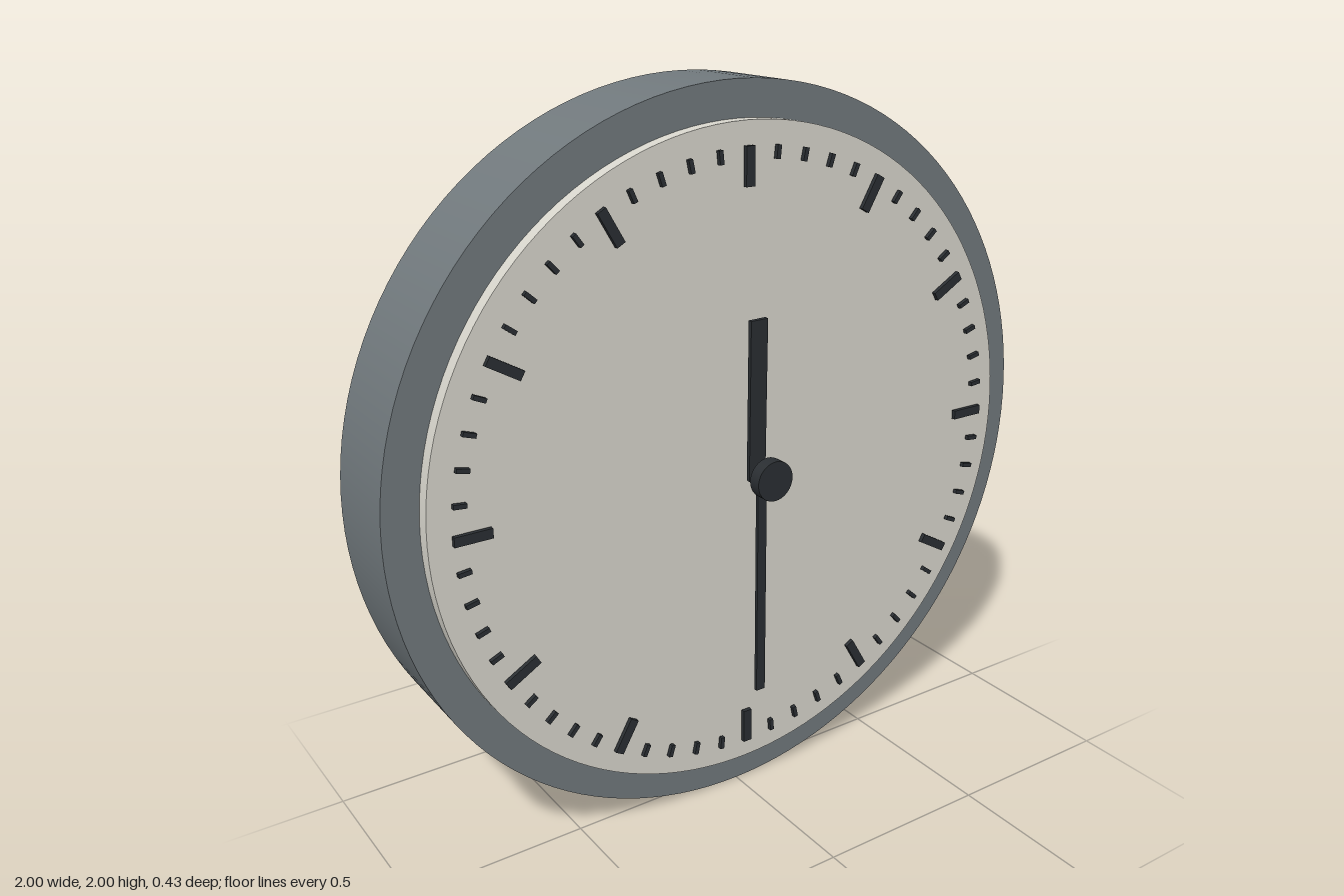
import * as THREE from 'three';

const CENTRE_Y = 1;

function material(color) {
  return new THREE.MeshStandardMaterial({ color });
}

export function createModel() {
  const clock = new THREE.Group();
  clock.name = 'wallClock';

  const caseMat = material(0x71797d);
  const dialMat = material(0xd8d6cd);
  const darkMat = material(0x2a2e32);

  // Round disc facing the front, spanning z0 to z1
  function disc(name, radius, z0, z1, mat, segments) {
    const geo = new THREE.CylinderGeometry(radius, radius, z1 - z0, segments);
    geo.rotateX(Math.PI / 2);
    const mesh = new THREE.Mesh(geo, mat);
    mesh.name = name;
    mesh.position.set(0, CENTRE_Y, (z0 + z1) / 2);
    clock.add(mesh);
  }

  disc('case', 1, -0.217, 0.042, caseMat, 128);
  disc('dial', 0.905, 0.042, 0.08, dialMat, 128);
  disc('centreCap', 0.055, 0.18, 0.217, darkMat, 32);

  // Sixty marks, every fifth one longer and wider, sharing an outer radius
  const marks = new THREE.Group();
  marks.name = 'minuteMarks';
  const outer = 0.845;
  const hourGeo = new THREE.BoxGeometry(0.026, 0.1, 0.012);
  const minuteGeo = new THREE.BoxGeometry(0.012, 0.035, 0.012);
  for (let i = 0; i < 60; i++) {
    const isHour = i % 5 === 0;
    const r = outer - (isHour ? 0.05 : 0.0175);
    const a = (i / 60) * Math.PI * 2;
    const mark = new THREE.Mesh(isHour ? hourGeo : minuteGeo, darkMat);
    mark.name = isHour ? 'hourMark' : 'minuteMark';
    mark.position.set(Math.sin(a) * r, CENTRE_Y + Math.cos(a) * r, 0.093);
    mark.rotation.z = -a;
    marks.add(mark);
  }
  clock.add(marks);

  // Flat bar laid from one point to another
  function hand(name, from, to, width, thickness) {
    const a = new THREE.Vector3(...from);
    const b = new THREE.Vector3(...to);
    const dir = b.clone().sub(a);
    const geo = new THREE.BoxGeometry(width, dir.length(), thickness);
    const mesh = new THREE.Mesh(geo, darkMat);
    mesh.name = name;
    mesh.position.copy(a).add(b).multiplyScalar(0.5);
    mesh.quaternion.setFromUnitVectors(new THREE.Vector3(0, 1, 0), dir.normalize());
    clock.add(mesh);
  }

  hand('hourHand', [-0.002, 0.98, 0.133], [-0.008, 1.42, 0.146], 0.052, 0.012);
  hand('minuteHand', [-0.006, 1.01, 0.163], [-0.006, 0.36, 0.163], 0.028, 0.01);

  return clock;
}
